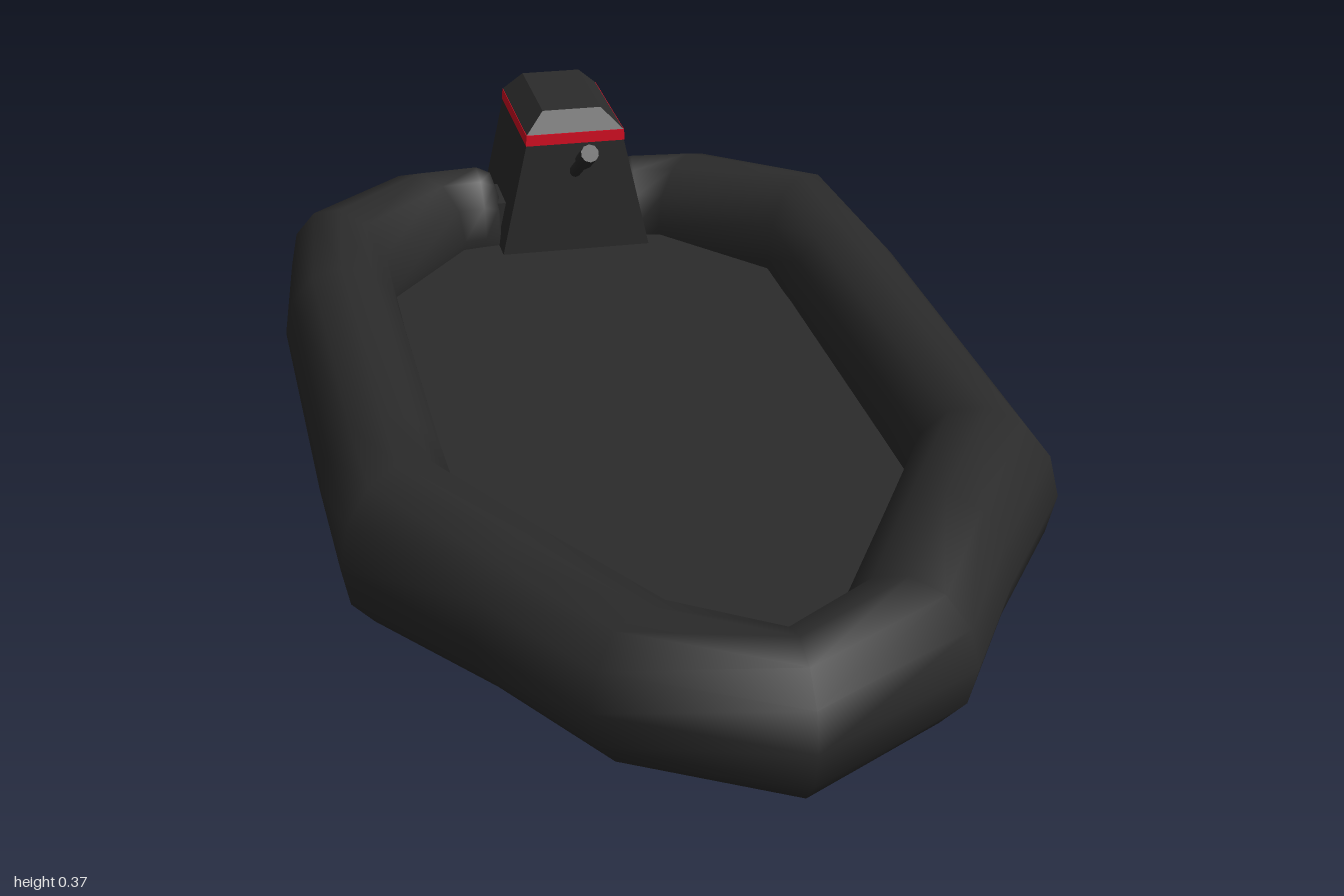
import * as THREE from 'three';

const material = (color, flatShading = false) => {
  const m = new THREE.MeshStandardMaterial({ color });
  m.flatShading = flatShading;
  return m;
};

// Skin a list of closed rings of Vector3 and close both ends with fans.
function loft(rings) {
  const n = rings[0].length;
  const pos = rings.flat().flatMap((p) => p.toArray());
  const index = [];
  for (let i = 0; i < rings.length - 1; i++) {
    for (let j = 0; j < n; j++) {
      const a = i * n + j, b = i * n + ((j + 1) % n);
      index.push(a, b, a + n, b, b + n, a + n);
    }
  }
  const last = (rings.length - 1) * n;
  for (let j = 1; j < n - 1; j++) {
    index.push(0, j + 1, j, last, last + j, last + j + 1);
  }
  const g = new THREE.BufferGeometry();
  g.setAttribute('position', new THREE.Float32BufferAttribute(pos, 3));
  g.setIndex(index);
  g.computeVertexNormals();
  return g;
}

export function createModel() {
  const boat = new THREE.Group();
  const black = material(0x2b2b2b);
  const blackFlat = material(0x2b2b2b, true);
  const red = material(0xd80c22, true);
  const add = (name, geometry, mat, parent = boat) => {
    const mesh = new THREE.Mesh(geometry, mat);
    mesh.name = name;
    parent.add(mesh);
    return mesh;
  };

  // Inflatable tube: stern to bow stations [outerX, outerZ, innerX, innerZ, halfHeight]
  const midY = 0.132;
  const half = [
    [0.115, -0.89, 0.105, -0.81, 0.07],
    [0.125, -0.922, 0.115, -0.78, 0.1],
    [0.15, -0.928, 0.14, -0.777, 0.112],
    [0.32, -0.91, 0.18, -0.77, 0.113],
    [0.5, -0.72, 0.335, -0.57, 0.13],
    [0.535, -0.43, 0.337, -0.42, 0.113],
    [0.535, 0.15, 0.34, 0.15, 0.113],
    [0.53, 0.4, 0.34, 0.27, 0.125],
    [0.38, 0.63, 0.22, 0.49, 0.113],
    [0.26, 0.84, 0.1, 0.71, 0.113],
  ];
  const mirrored = half.map(([ox, oz, ix, iz, h]) => [-ox, oz, -ix, iz, h]).reverse();
  const stations = [...half, [0, 0.993, 0, 0.79, 0.112], ...mirrored];
  const SIDES = 12;
  const rings = stations.map(([ox, oz, ix, iz, h]) => {
    const ring = [];
    for (let j = 0; j < SIDES; j++) {
      const a = (j / SIDES) * Math.PI * 2;
      const t = (1 + Math.cos(a)) / 2;
      ring.push(new THREE.Vector3(ix + (ox - ix) * t, midY + h * Math.sin(a), iz + (oz - iz) * t));
    }
    return ring;
  });
  add('hullTube', loft(rings), black);

  // Floor panel, tucked slightly into the tube
  const outline = stations.map(([ox, oz, ix, iz]) =>
    new THREE.Vector2(ix + (ox - ix) * 0.15, -(iz + (oz - iz) * 0.15)));
  const floorGeo = new THREE.ExtrudeGeometry(new THREE.Shape(outline), { depth: 0.03, bevelEnabled: false });
  floorGeo.rotateX(-Math.PI / 2);
  add('floor', floorGeo, blackFlat).position.y = 0.085;

  // Lower board joining the two tube ends under the motor
  add('transom', new THREE.BoxGeometry(0.26, 0.14, 0.1), blackFlat).position.set(0, 0.12, -0.85);

  // Outboard motor: stacked tapered blocks, levels are [y, halfWidth, backZ, frontZ]
  const motor = new THREE.Group();
  motor.name = 'motor';
  motor.position.x = 0.019;
  boat.add(motor);
  const taper = (levels) => loft(levels.map(([y, w, back, front]) =>
    [[w, front], [w, back], [-w, back], [-w, front]].map(([x, z]) => new THREE.Vector3(x, y, z))));
  add('motorBody', taper([[0.11, 0.136, -1, -0.735], [0.322, 0.089, -1, -0.733]]), blackFlat, motor);
  add('motorStripe', taper([[0.322, 0.09, -1, -0.73], [0.342, 0.089, -1, -0.73]]), red, motor);
  add('motorCover', taper([[0.342, 0.088, -1, -0.732], [0.375, 0.053, -0.982, -0.765]]), blackFlat, motor);

  // Steering handle angled up towards the bow
  const start = new THREE.Vector3(0, 0.262, -0.745);
  const end = new THREE.Vector3(0, 0.352, -0.592);
  const dir = end.clone().sub(start).normalize();
  const rod = (name, from, to, radius) => {
    const a = start.clone().lerp(end, from), b = start.clone().lerp(end, to);
    const mesh = add(name, new THREE.CylinderGeometry(radius, radius, a.distanceTo(b), 10), black, motor);
    mesh.position.copy(a).lerp(b, 0.5);
    mesh.quaternion.setFromUnitVectors(new THREE.Vector3(0, 1, 0), dir);
  };
  rod('handleRod', 0, 0.7, 0.011);
  rod('handleGrip', 0.62, 1, 0.016);

  return boat;
}
